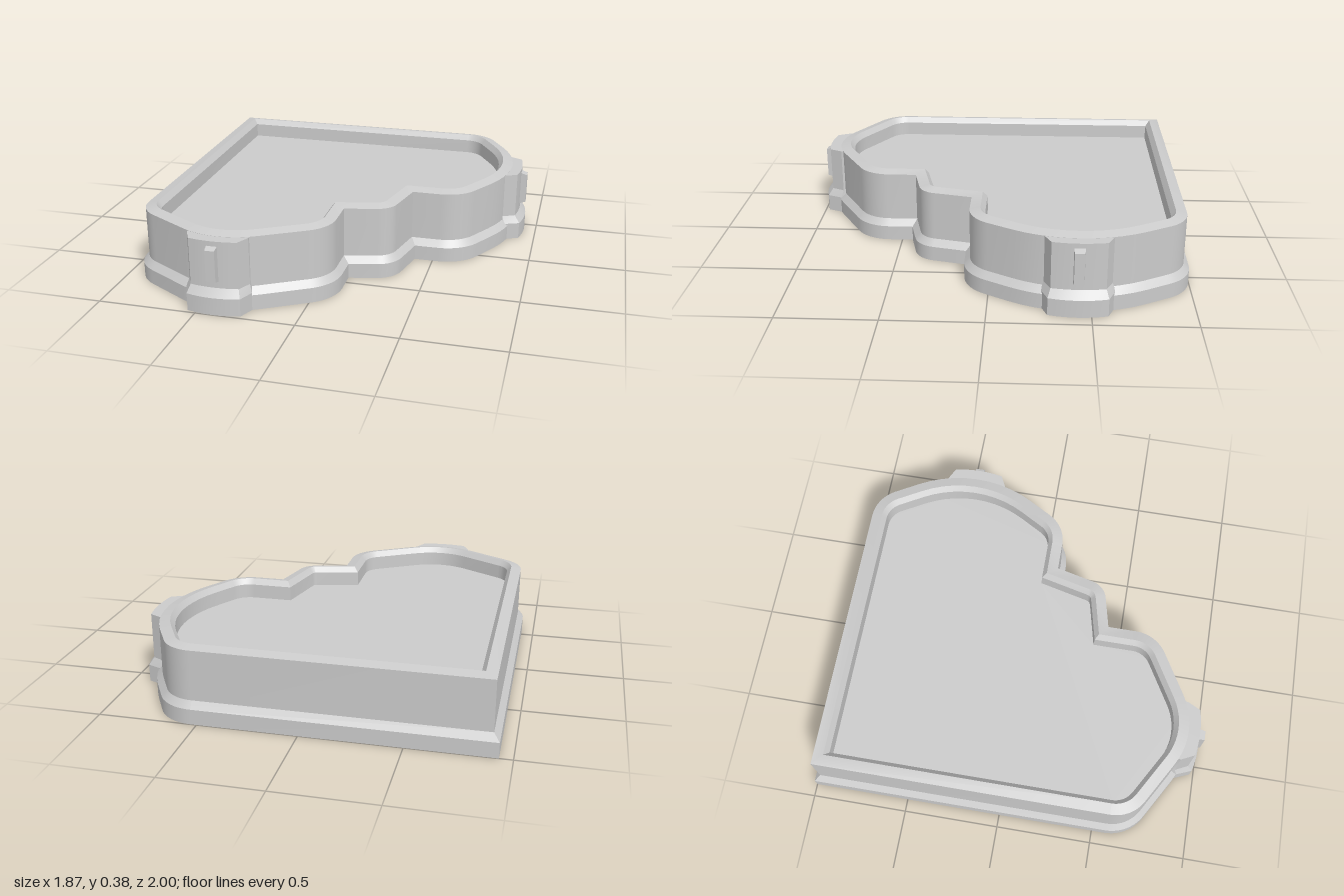
import * as THREE from 'three';
import { toCreasedNormals } from 'three/addons/utils/BufferGeometryUtils.js';

const material = new THREE.MeshStandardMaterial({ color: 0xcccccc });

// Heart outline, clockwise from above: x, z, corner radius (0 = sharp)
const OUTLINE = [
  [-0.935, -1, 0], [0.655, -1, 0.22], [0.978, -0.435, 0.67], [0.655, 0.13, 0.22],
  [0.405, 0.13, 0], [0.345, 0.39, 0.14], [0.118, 0.443, 0],
  [0.118, 0.695, 0.22], [-0.4075, 1, 0.4], [-0.935, 0.695, 0.22],
];

// Outline moved inward by d, with rounded corners, at height y
function outlineRing(d, y, segments = 10) {
  const n = OUTLINE.length;
  const ring = [];
  OUTLINE.forEach(([x, z, radius], i) => {
    const p = new THREE.Vector2(x, z);
    const prev = new THREE.Vector2(...OUTLINE[(i + n - 1) % n]);
    const next = new THREE.Vector2(...OUTLINE[(i + 1) % n]);
    const e1 = p.clone().sub(prev).normalize();
    const e2 = next.sub(p).normalize();
    const n1 = new THREE.Vector2(-e1.y, e1.x);
    const n2 = new THREE.Vector2(-e2.y, e2.x);
    // mitred corner
    p.addScaledVector(n1.clone().add(n2), d / (1 + n1.dot(n2)));
    if (!radius) {
      ring.push([p.x, y, p.y]);
      return;
    }
    const r = radius - d;
    const turn = Math.atan2(e1.cross(e2), e1.dot(e2));
    const centre = p.clone().addScaledVector(e1, -r * Math.tan(turn / 2)).addScaledVector(n1, r);
    for (let k = 0; k <= segments; k++) {
      const q = n1.clone().multiplyScalar(-r)
        .rotateAround(new THREE.Vector2(), turn * k / segments).add(centre);
      ring.push([q.x, y, q.y]);
    }
  });
  return ring;
}

// Skin through equal rings, closed by a cap facing down and a cap facing up
function loft(rings) {
  const n = rings[0].length;
  const index = [];
  for (let k = 0; k < rings.length - 1; k++) {
    for (let i = 0; i < n; i++) {
      const a = k * n + i, b = k * n + (i + 1) % n;
      index.push(a, a + n, b, b, a + n, b + n);
    }
  }
  const cap = (k, up) => {
    const pts = rings[k].map(([x, , z]) => new THREE.Vector2(x, z));
    for (const [a, b, c] of THREE.ShapeUtils.triangulateShape(pts, [])) {
      const area = pts[b].clone().sub(pts[a]).cross(pts[c].clone().sub(pts[a]));
      const facesUp = area < 0;
      index.push(k * n + a, k * n + (facesUp === up ? b : c), k * n + (facesUp === up ? c : b));
    }
  };
  cap(0, false);
  cap(rings.length - 1, true);
  const geometry = new THREE.BufferGeometry();
  geometry.setAttribute('position', new THREE.Float32BufferAttribute(rings.flat(2), 3));
  geometry.setIndex(index);
  return toCreasedNormals(geometry, Math.PI / 9);
}

function addMesh(parent, name, geometry) {
  const mesh = new THREE.Mesh(geometry, material);
  mesh.name = name;
  parent.add(mesh);
  return mesh;
}

// Cross-section of the boss: splayed sides and a gently bowed front with its tip on z = 0
function bossRing(y, inset, back, half) {
  const base = half - inset * 0.4;
  const corner = half - 0.033 - inset * 0.4;
  const ring = [
    [-base, -0.1 - inset * 0.4], [-base, back - 0.025], [0, back],
    [base, back - 0.025], [base, -0.1 - inset * 0.4],
  ];
  for (let k = 4; k >= -4; k--) {
    const t = k / 4;
    ring.push([corner * t, -inset - (0.02 - inset * 0.2) * t * t]);
  }
  return ring.map(([x, z]) => [x, y, z]);
}

// Boss on a lobe, with a small tapered catch
function createBoss(name, half) {
  const boss = new THREE.Group();
  boss.name = name;
  addMesh(boss, 'bossBody', loft([
    bossRing(0, 0, -0.077, half),
    bossRing(0.09, 0, -0.077, half),
    bossRing(0.13, 0.033, -0.12, half),
    bossRing(0.37, 0.033, -0.12, half),
  ]));
  const box = new THREE.BoxGeometry(0.054, 0.185, 0.036);
  const pos = box.attributes.position;
  for (let i = 0; i < pos.count; i++) {
    if (pos.getZ(i) > 0) pos.setXY(i, pos.getX(i) * 0.9, pos.getY(i) * 0.86);
  }
  box.computeVertexNormals();
  addMesh(boss, 'catch', box).position.set(0, 0.254, -0.02);
  return boss;
}

export function createModel() {
  const model = new THREE.Group();
  model.name = 'heartTray';

  // Tray section: hollow underside, flared foot, wall, sloped rim, bevel, recessed floor
  const section = [
    [0.09, 0.095], [0.02, 0.04], [0.015, 0], [0, 0], [0, 0.078],
    [0.03, 0.113], [0.03, 0.371], [0.085, 0.384], [0.108, 0.355], [0.11, 0.28],
  ];
  addMesh(model, 'tray', loft(section.map(([d, y]) => outlineRing(d, y))));

  const front = createBoss('frontBoss', 0.168);
  front.position.set(-0.41, 0, 1);
  const side = createBoss('sideBoss', 0.178);
  side.position.set(0.935, 0, -0.435);
  side.rotation.y = Math.PI / 2;
  model.add(front, side);
  return model;
}
